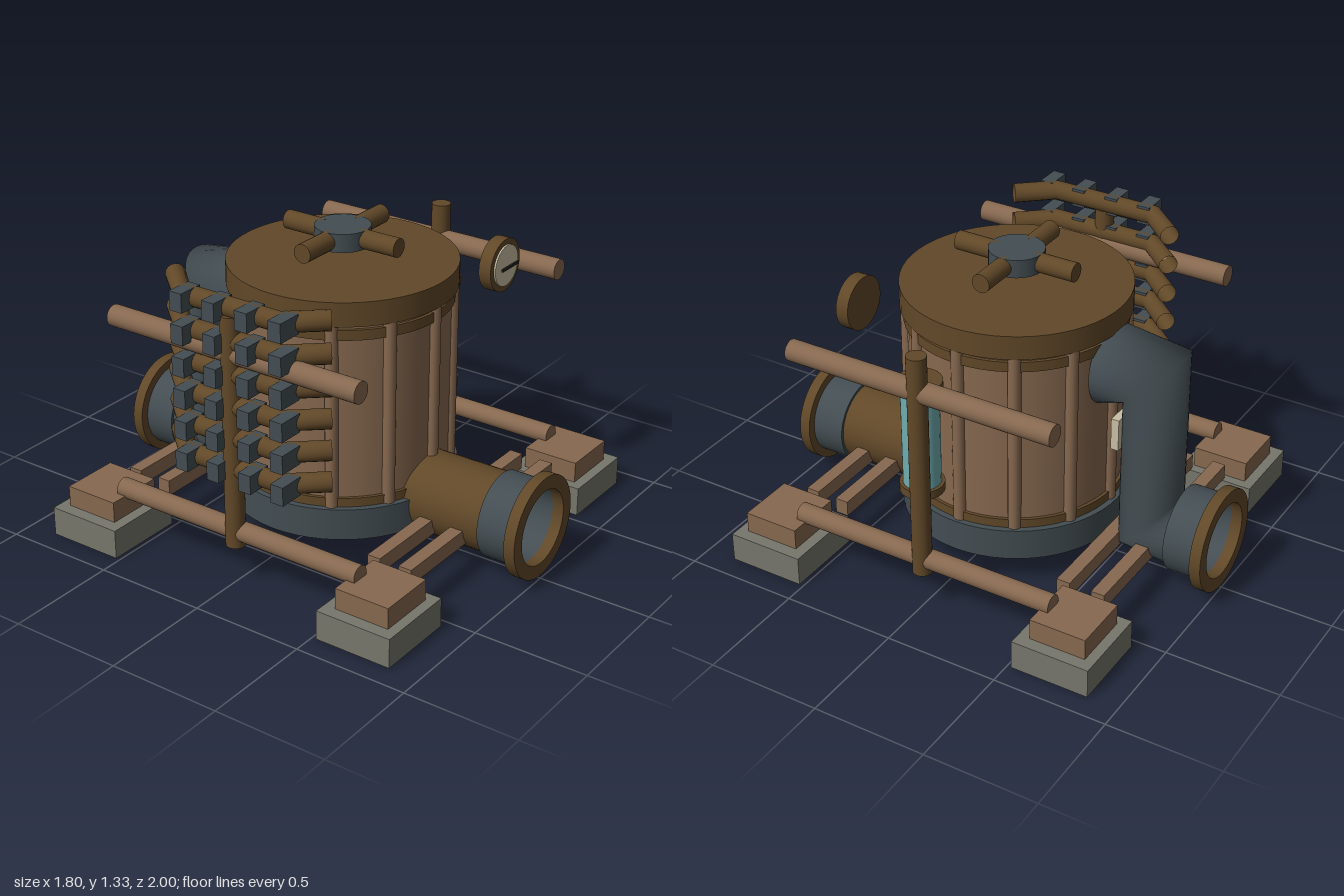
import * as THREE from 'three';
import { toCreasedNormals } from 'three/addons/utils/BufferGeometryUtils.js';

export function createModel() {
  const model = new THREE.Group();
  model.name = 'boilerMachine';

  const material = (name, color, side = THREE.FrontSide) => {
    const m = new THREE.MeshStandardMaterial({ color, side });
    m.name = name;
    return m;
  };
  const copper = material('copper', 0x86684f);
  const bronze = material('bronze', 0x614828, THREE.DoubleSide);
  const iron = material('iron', 0x434d52, THREE.DoubleSide);
  const stone = material('stone', 0x77766c);
  const glass = material('glass', 0x70adb0);
  const cream = material('cream', 0xc9bfa4);
  const black = material('black', 0x26241f);

  // Helpers
  const add = (name, geometry, mat, x = 0, y = 0, z = 0) => {
    const mesh = new THREE.Mesh(geometry, mat);
    mesh.name = name;
    mesh.position.set(x, y, z);
    model.add(mesh);
    return mesh;
  };
  const box = (name, mat, w, h, d, x, y, z) =>
    add(name, new THREE.BoxGeometry(w, h, d), mat, x, y, z);
  // Upright cylinder between two heights
  const column = (name, mat, r, y0, y1, x = 0, z = 0, sides = 24) =>
    add(name, new THREE.CylinderGeometry(r, r, y1 - y0, sides), mat, x, (y0 + y1) / 2, z);
  // Cylinder lying along z
  const rod = (name, mat, r, z0, z1, x, y, open = false) => {
    const g = new THREE.CylinderGeometry(r, r, z1 - z0, 32, 1, open).rotateX(Math.PI / 2);
    return add(name, g, mat, x, y, (z0 + z1) / 2);
  };
  // Hollow ring along z
  const ring = (name, mat, rOut, rIn, z0, z1, y) => {
    const shape = new THREE.Shape().absarc(0, 0, rOut, 0, Math.PI * 2);
    shape.holes.push(new THREE.Path().absarc(0, 0, rIn, 0, Math.PI * 2, true));
    const g = new THREE.ExtrudeGeometry(shape, { depth: z1 - z0, bevelEnabled: false, curveSegments: 36 });
    return add(name, toCreasedNormals(g, 0.6), mat, 0, y, z0);
  };
  // Open pipe along a flat path, one round section at each point
  const bentPipe = (points, radius, binormal, sides = 24) => {
    const positions = [], index = [];
    points.forEach((p, i) => {
      const tangent = new THREE.Vector3();
      if (i > 0) tangent.add(p.clone().sub(points[i - 1]).normalize());
      if (i < points.length - 1) tangent.add(points[i + 1].clone().sub(p).normalize());
      const normal = binormal.clone().cross(tangent.normalize());
      for (let j = 0; j < sides; j++) {
        const a = (j / sides) * Math.PI * 2;
        const v = p.clone().addScaledVector(normal, radius * Math.cos(a))
          .addScaledVector(binormal, radius * Math.sin(a));
        positions.push(v.x, v.y, v.z);
        if (i === 0) continue;
        const k = (j + 1) % sides, a0 = (i - 1) * sides, b0 = i * sides;
        // normal x binormal = tangent, so this order faces outwards
        index.push(a0 + j, a0 + k, b0 + j, a0 + k, b0 + k, b0 + j);
      }
    });
    const g = new THREE.BufferGeometry();
    g.setAttribute('position', new THREE.Float32BufferAttribute(positions, 3));
    g.setIndex(index);
    g.computeVertexNormals();
    return g;
  };
  const V = (x, y, z) => new THREE.Vector3(x, y, z);

  // Boiler drum
  column('drumBase', iron, 0.495, 0.13, 0.27, 0, 0, 56);
  column('drumBody', copper, 0.455, 0.26, 1.1, 0, 0, 56);
  column('lowerBand', bronze, 0.469, 0.27, 0.31, 0, 0, 56);
  column('upperBand', bronze, 0.469, 1.02, 1.065, 0, 0, 56);
  column('drumLid', bronze, 0.484, 1.085, 1.19, 0, 0, 56);
  for (let i = 0; i < 12; i++) {
    const a = (i / 12) * Math.PI * 2;
    column('drumRib', copper, 0.028, 0.27, 1.09, 0.455 * Math.sin(a), 0.455 * Math.cos(a), 14);
  }

  // Valve wheel above the lid
  column('valveHub', iron, 0.118, 1.25, 1.33);
  for (let i = 0; i < 4; i++) {
    const spoke = new THREE.CylinderGeometry(0.041, 0.041, 0.19, 20)
      .rotateX(Math.PI / 2).translate(0, 0, 0.183).rotateY(i * Math.PI / 2);
    add('valveSpoke', spoke, bronze, 0, 1.29, 0);
  }

  // Front pipe, rear pipe and their end flanges
  const pipeY = 0.24;
  rod('frontPipe', bronze, 0.175, 0.42, 0.82, 0, pipeY, true);
  ring('frontCollar', iron, 0.187, 0.165, 0.8, 0.95, pipeY);
  ring('frontFlange', bronze, 0.225, 0.165, 0.95, 1, pipeY);
  add('rearPipe', bentPipe(
    [V(0, 0.925, -0.44), V(0, 0.925, -0.66), V(0, pipeY, -0.66), V(0, pipeY, -0.87)],
    0.175, V(1, 0, 0), 32), iron);
  ring('rearCollar', iron, 0.187, 0.165, -0.95, -0.81, pipeY);
  ring('rearFlange', bronze, 0.225, 0.165, -1, -0.95, pipeY);

  // Plate at the back of the drum
  box('backPlate', cream, 0.2, 0.145, 0.035, 0, 0.655, -0.527);

  // Pressure gauge
  rod('gaugeCase', bronze, 0.116, 0.47, 0.527, 0.42, 1.135);
  rod('gaugeFace', cream, 0.09, 0.527, 0.535, 0.42, 1.135);
  box('gaugeNeedle', black, 0.125, 0.012, 0.008, 0.42, 1.135, 0.551);

  // Sight glass
  column('sightGlass', glass, 0.08, 0.46, 0.92, 0.55, 0.12);
  column('glassLowerCap', bronze, 0.095, 0.43, 0.468, 0.55, 0.12);
  column('glassUpperCap', bronze, 0.095, 0.912, 0.95, 0.55, 0.12);

  // Feet, side rails and posts, mirrored
  for (const sx of [-1, 1]) {
    for (const sz of [-1, 1]) {
      box('footStone', stone, 0.36, 0.13, 0.345, sx * 0.72, 0.065, sz * 0.692);
      box('footBlock', copper, 0.26, 0.095, 0.25, sx * 0.715, 0.175, sz * 0.695);
    }
    rod('lowerRail', copper, 0.043, -0.61, 0.61, sx * 0.732, 0.238);
    rod('upperRail', copper, 0.046, -0.61, 0.61, sx * 0.732, 1.03);
    column('sidePost', bronze, 0.042, 0.175, 1.195, sx * 0.742, 0);
  }

  // Cross beams
  for (const z of [-0.708, -0.55, 0.545, 0.695])
    box('crossBeam', copper, 1.095, 0.07, 0.06, 0, 0.175, z);

  // Bank of cooling tubes with clamp blocks
  for (let row = 0; row < 6; row++) {
    const y = 1.222 - row * 0.139;
    add('coolingTube', bentPipe(
      [V(-0.6, y, -0.39), V(-0.737, y, -0.24), V(-0.737, y, 0.24), V(-0.61, y, 0.385)],
      0.042, V(0, 1, 0), 16), bronze);
    for (let c = 0; c < 4; c++)
      box('clampBlock', iron, 0.115, 0.082, 0.06, -0.767, y, -0.203 + c * 0.16);
  }
  return model;
}
